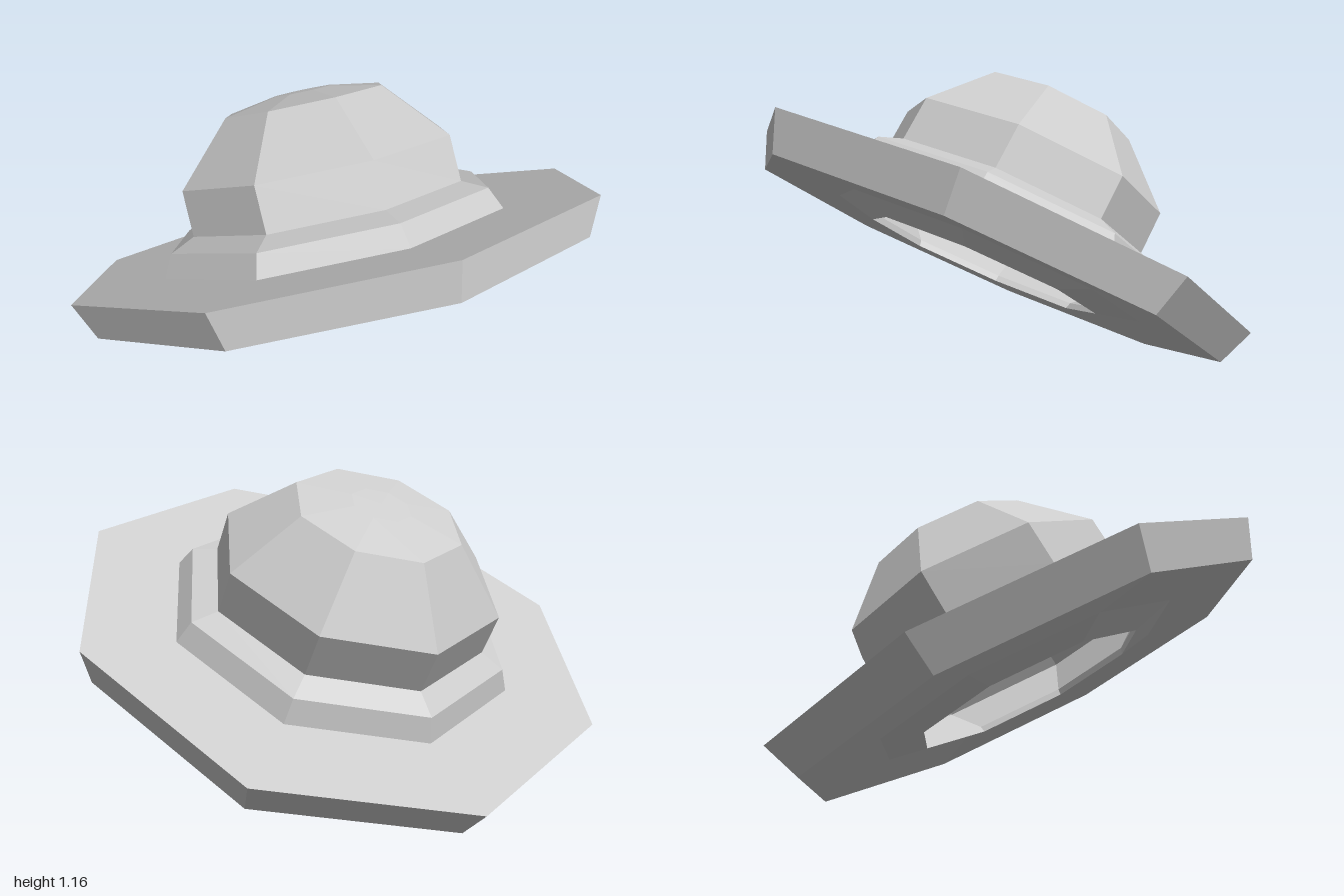
import * as THREE from 'three';

const SIDES = 8;
const material = new THREE.MeshStandardMaterial({
  color: 0xcccccc,
  flatShading: true,
  side: THREE.DoubleSide,
});

// Eight-sided shell from [radius, height] pairs, listed from bottom to top
function shell(name, profile) {
  const points = profile.map(([r, h]) => new THREE.Vector2(r, h));
  const mesh = new THREE.Mesh(new THREE.LatheGeometry(points, SIDES), material);
  mesh.name = name;
  return mesh;
}

export function createModel() {
  const model = new THREE.Group();
  const hat = new THREE.Group();
  hat.name = 'hat';

  // Wide brim with a bevelled rim and a lip around the head opening
  hat.add(shell('brim', [
    [0.66, 0], [0.47, -0.13], [0.46, -0.155], [0.62, -0.12],
    [0.94, -0.14], [1, 0], [0.66, 0],
  ]));

  // Band stepping up from the brim to the crown
  hat.add(shell('band', [[0.66, 0], [0.62, 0.08], [0.527, 0.118]]));

  // Hollow faceted crown, leaning slightly backward
  const crown = shell('crown', [
    [0.527, 0.118], [0.525, 0.285], [0.31, 0.502], [0.11, 0.536], [0, 0.54],
  ]);
  const p = crown.geometry.attributes.position;
  for (let i = 0; i < p.count; i++) {
    if (p.getY(i) > 0.2) p.setZ(i, p.getZ(i) - 0.014);
  }
  crown.geometry.computeVertexNormals();
  hat.add(crown);

  // The whole hat is tipped back, front edge raised
  hat.rotation.x = THREE.MathUtils.degToRad(-29);
  hat.position.y = 0.58;
  model.add(hat);
  return model;
}
